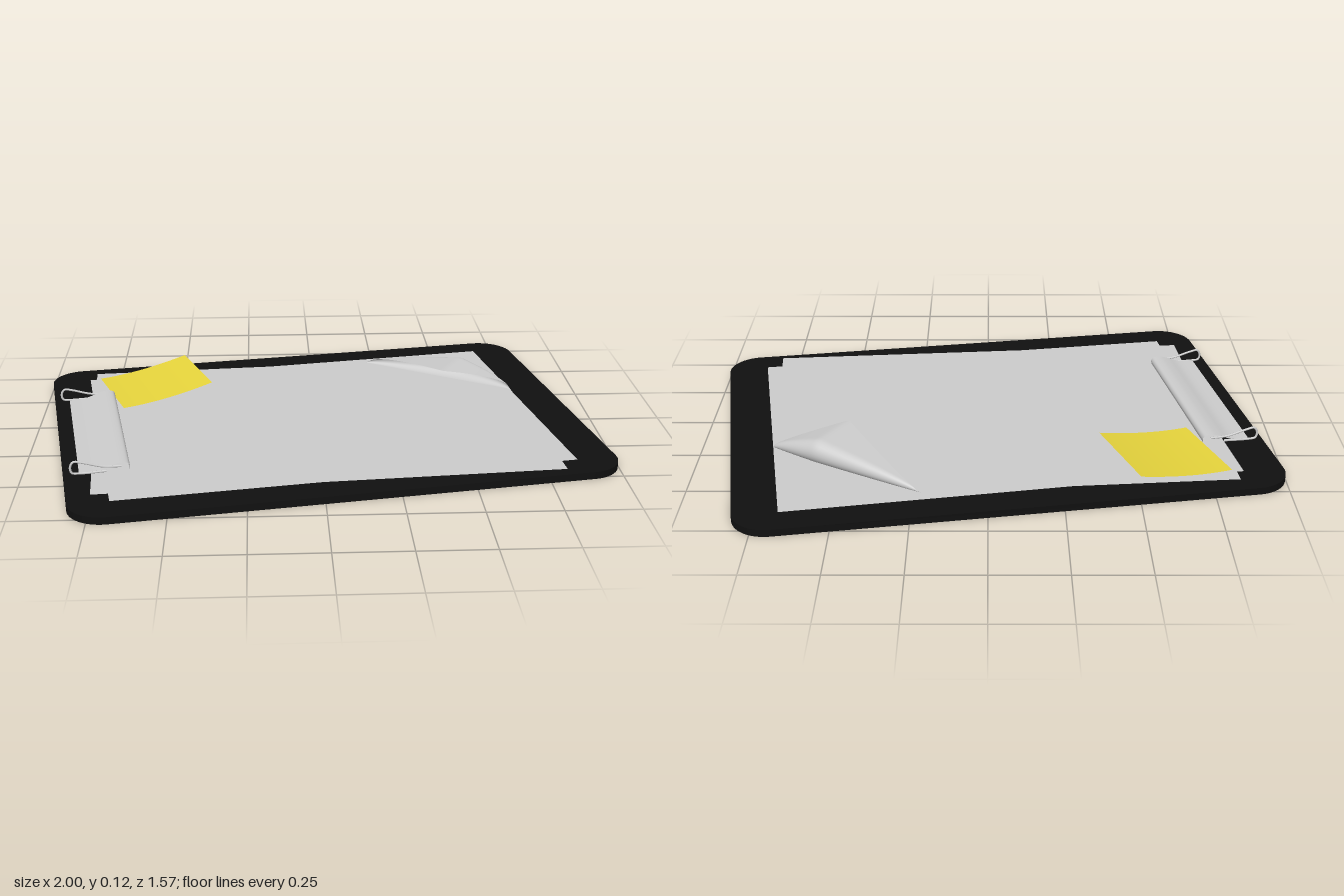
import * as THREE from 'three';

const ANGLE = THREE.MathUtils.degToRad(9.5);
const material = (color) => new THREE.MeshStandardMaterial({ color, side: THREE.DoubleSide });

function addMesh(parent, name, geometry, mat) {
  const mesh = new THREE.Mesh(geometry, mat);
  mesh.name = name;
  parent.add(mesh);
  return mesh;
}

// Smooth sheet over a grid: point(u, v) returns [x, y, z], u and v from 0 to 1
function surface(nu, nv, point) {
  const geometry = new THREE.PlaneGeometry(1, 1, nu, nv);
  const { position, uv } = geometry.attributes;
  for (let i = 0; i < position.count; i++) {
    position.setXYZ(i, ...point(uv.getX(i), 1 - uv.getY(i)));
  }
  geometry.computeVertexNormals();
  return geometry;
}

// Flat outline of [x, z] corners, facing up at height y
function flatSheet(corners, y) {
  const shape = new THREE.Shape(corners.map(([x, z]) => new THREE.Vector2(x, -z)));
  return new THREE.ShapeGeometry(shape).rotateX(-Math.PI / 2).translate(0, y, 0);
}

function roundedRectangle(w, d, r) {
  const a = w / 2 - r, b = d / 2 - r;
  const shape = new THREE.Shape();
  [[a, b], [-a, b], [-a, -b], [a, -b]].forEach(([x, y], i) =>
    shape.absarc(x, y, r, i * Math.PI / 2, (i + 1) * Math.PI / 2, false));
  return shape;
}

export function createModel() {
  const model = new THREE.Group();
  model.name = 'clipboard';
  const grey = material(0xcccccc);

  // Board, turned a little on the ground
  const board = new THREE.ExtrudeGeometry(roundedRectangle(1.844, 1.32, 0.12),
    { depth: 0.025, bevelEnabled: false, curveSegments: 12 });
  addMesh(model, 'board', board.rotateX(-Math.PI / 2).rotateY(ANGLE), material(0x101010));

  // Lower sheet, square to the board
  addMesh(model, 'lowerSheet', flatSheet(
    [[-0.86, -0.41], [0.67, -0.68], [0.86, 0.42], [-0.685, 0.675]], 0.0275), grey);

  // Upper sheet, askew, with its far right corner cut off along the fold
  const sheetY = 0.03;
  const foldStart = [0.22, -0.558], foldEnd = [0.747, -0.24];
  addMesh(model, 'upperSheet', flatSheet(
    [[-0.84, -0.47], foldStart, foldEnd, [0.81, 0.5], [-0.75, 0.63]], sheetY), grey);

  // Curled corner: each strip across the fold wraps round an arc, then runs back
  const fold = new THREE.Vector2(foldEnd[0] - foldStart[0], foldEnd[1] - foldStart[1]);
  const foldLength = fold.length();
  fold.normalize();
  const tipAt = 0.404, reach = 0.3;
  const curl = surface(48, 28, (u, v) => {
    const along = u * foldLength;
    const part = Math.min(along / tipAt, (foldLength - along) / (foldLength - tipAt));
    const radius = 0.044 * Math.pow(Math.max(part, 1e-5), 0.65);
    const length = v * reach * part;
    const turn = Math.min(length / radius, Math.PI);
    const straight = Math.max(length - Math.PI * radius, 0);
    const out = radius * Math.sin(turn) - straight;
    return [
      foldStart[0] + fold.x * along + fold.y * out,
      sheetY + radius * (1 - Math.cos(turn)),
      foldStart[1] + fold.y * along - fold.x * out,
    ];
  });
  addMesh(model, 'curledCorner', curl, grey);

  // Sticky note, lifting toward its free edge
  const note = surface(16, 2, (u, v) => [
    -0.82 + 0.32 * u + 0.115 * v,
    0.033 + 0.046 * Math.pow(u, 1.8),
    -0.41 - 0.13 * u + 0.31 * v,
  ]);
  addMesh(model, 'stickyNote', note, material(0xe6d43c));

  // Clip, in the board's own directions
  const clip = new THREE.Group();
  clip.name = 'clip';
  clip.rotation.y = ANGLE;
  model.add(clip);

  // Clip plate: flat lip rising to a rounded ridge
  const profile = new THREE.CatmullRomCurve3([
    [-0.87, 0.033], [-0.81, 0.037], [-0.765, 0.053], [-0.735, 0.06],
    [-0.709, 0.057], [-0.702, 0.046], [-0.704, 0.033],
  ].map(([x, y]) => new THREE.Vector3(x, y, 0)));
  addMesh(clip, 'clipPlate', surface(32, 1, (u, v) => {
    const p = profile.getPoint(u);
    return [p.x, p.y, 0.335 - 0.67 * v];
  }), grey);

  // Wire loop at each end of the plate
  const wire = new THREE.CatmullRomCurve3([
    [-0.73, 0.048], [-0.79, 0.052], [-0.86, 0.072], [-0.886, 0.076],
    [-0.897, 0.06], [-0.893, 0.038], [-0.87, 0.034], [-0.78, 0.035],
  ].map(([x, y]) => new THREE.Vector3(x, y, 0)));
  for (const side of [-1, 1]) {
    const loop = addMesh(clip, side > 0 ? 'frontWireLoop' : 'backWireLoop',
      new THREE.TubeGeometry(wire, 48, 0.004, 8), grey);
    loop.position.z = side * 0.336;
  }
  return model;
}
